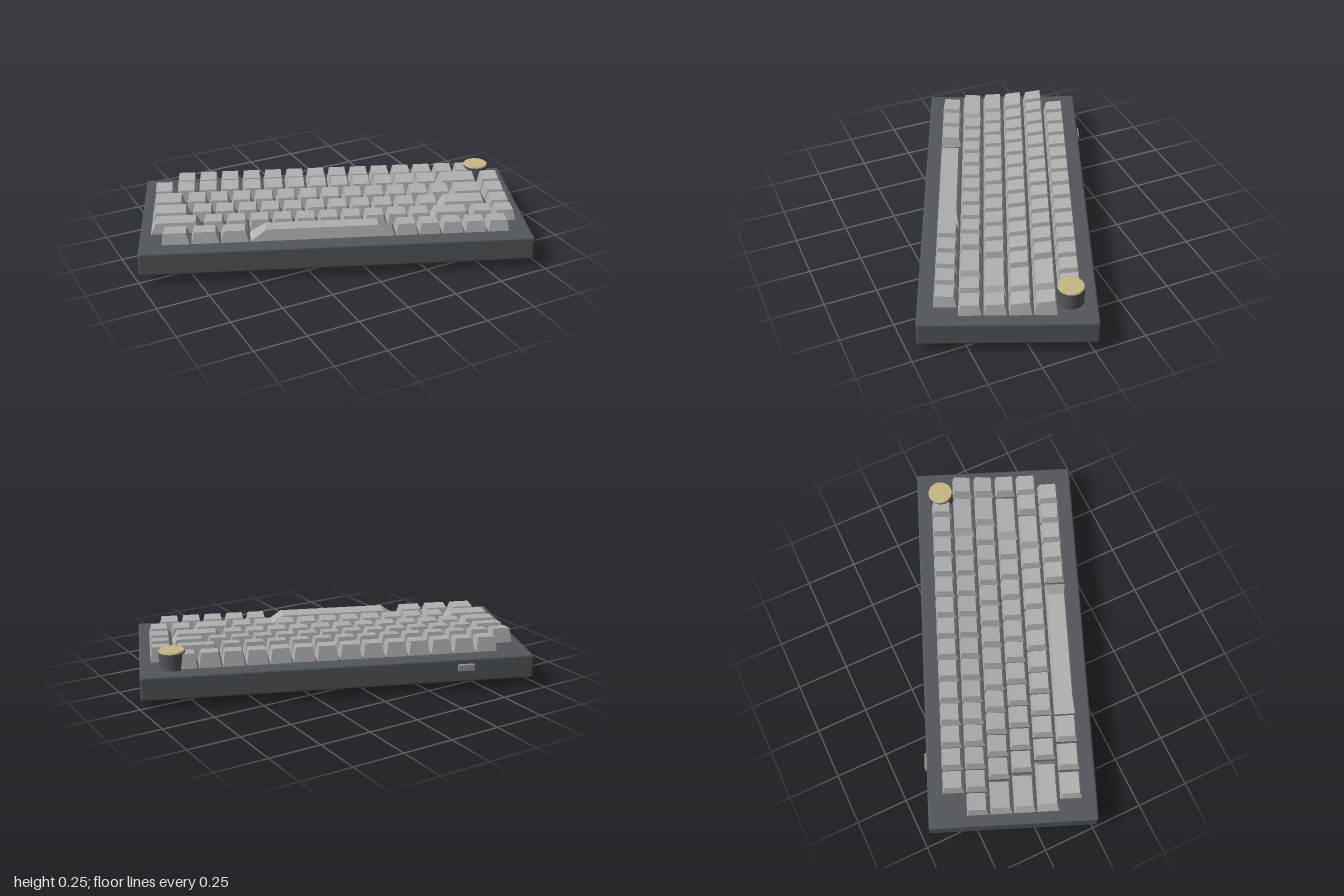
import * as THREE from 'three';
import { RoundedBoxGeometry } from 'three/addons/geometries/RoundedBoxGeometry.js';

const UNIT = 0.109; // key pitch
const GAP = 0.008;
const KEY_BASE = 0.164;

const material = (name, color) => {
  const m = new THREE.MeshStandardMaterial({ color });
  m.name = name;
  return m;
};

// Key widths in units, from the back row to the front row; every row is centred
const ones = (n) => Array(n).fill(1);
const ROWS = [
  { name: 'functionRow', keys: ones(14), back: 0.234, front: 0.226 },
  { name: 'numberRow', keys: [...ones(13), 2, 1], back: 0.235, front: 0.223 },
  { name: 'upperRow', keys: [1.5, ...ones(12), 1.5, 1], back: 0.227, front: 0.216 },
  { name: 'homeRow', keys: [1.75, ...ones(11), 2.25, 1], back: 0.218, front: 0.213 },
  { name: 'lowerRow', keys: [2.25, ...ones(10), 1.75, 1, 1], back: 0.214, front: 0.215 },
  { name: 'bottomRow', keys: [1.25, 1.25, 1.25, 6.25, ...ones(5)], back: 0.213, front: 0.218 },
];

// Tapered cap with a sloping top; the taper grows with the width
function keycapGeometry(width, back, front) {
  const g = new THREE.BoxGeometry(width, 1, UNIT - GAP);
  const p = g.attributes.position;
  for (let i = 0; i < p.count; i++) {
    if (p.getY(i) > 0) {
      const z = p.getZ(i);
      p.setXYZ(i, p.getX(i) * 0.78, (z < 0 ? back : front) - KEY_BASE, z * 0.78);
    } else {
      p.setY(i, 0);
    }
  }
  g.computeVertexNormals();
  return g;
}

export function createModel() {
  const caseGrey = material('case grey', 0x52575b);
  const keyGrey = material('key grey', 0xb0b0b0);
  const brass = material('brass', 0xc8b785);
  const portGrey = material('port grey', 0x999999);

  const model = new THREE.Group();
  model.name = 'keyboard';
  const body = new THREE.Group();
  body.name = 'turnedBody';
  body.rotation.y = -0.386;
  model.add(body);

  const add = (parent, name, geometry, mat, x, y, z) => {
    const mesh = new THREE.Mesh(geometry, mat);
    mesh.name = name;
    mesh.position.set(x, y, z);
    parent.add(mesh);
    return mesh;
  };

  // Case and the separate weight below it
  add(body, 'case', new RoundedBoxGeometry(1.84, 0.115, 0.79, 3, 0.01), caseGrey, 0, 0.1025, 0);
  add(body, 'bottomWeight', new RoundedBoxGeometry(1.25, 0.025, 0.285, 3, 0.007), brass, 0, 0.0125, 0);

  // Connector on the back edge
  add(body, 'port', new RoundedBoxGeometry(0.08, 0.034, 0.03, 2, 0.004), portGrey, -0.59, 0.118, -0.39);

  // Key rows
  ROWS.forEach((row, r) => {
    const group = new THREE.Group();
    group.name = row.name;
    body.add(group);
    const z = (r - 2.5) * UNIT;
    let x = -row.keys.reduce((a, b) => a + b, 0) * UNIT / 2;
    row.keys.forEach((units) => {
      const w = units * UNIT;
      const name = units > 3 ? 'spaceBar' : 'key';
      add(group, name, keycapGeometry(w - GAP, row.back, row.front), keyGrey, x + w / 2, KEY_BASE, z);
      x += w;
    });
  });

  // Rotary knob: dark barrel with a bevelled metal cap
  const knob = new THREE.Group();
  knob.name = 'knob';
  knob.position.set(0.77, 0, -0.275);
  body.add(knob);
  add(knob, 'knobBarrel', new THREE.CylinderGeometry(0.06, 0.06, 0.081, 48), caseGrey, 0, 0.1985, 0);
  add(knob, 'knobCap', new THREE.CylinderGeometry(0.057, 0.06, 0.007, 48), brass, 0, 0.2425, 0);

  return model;
}
